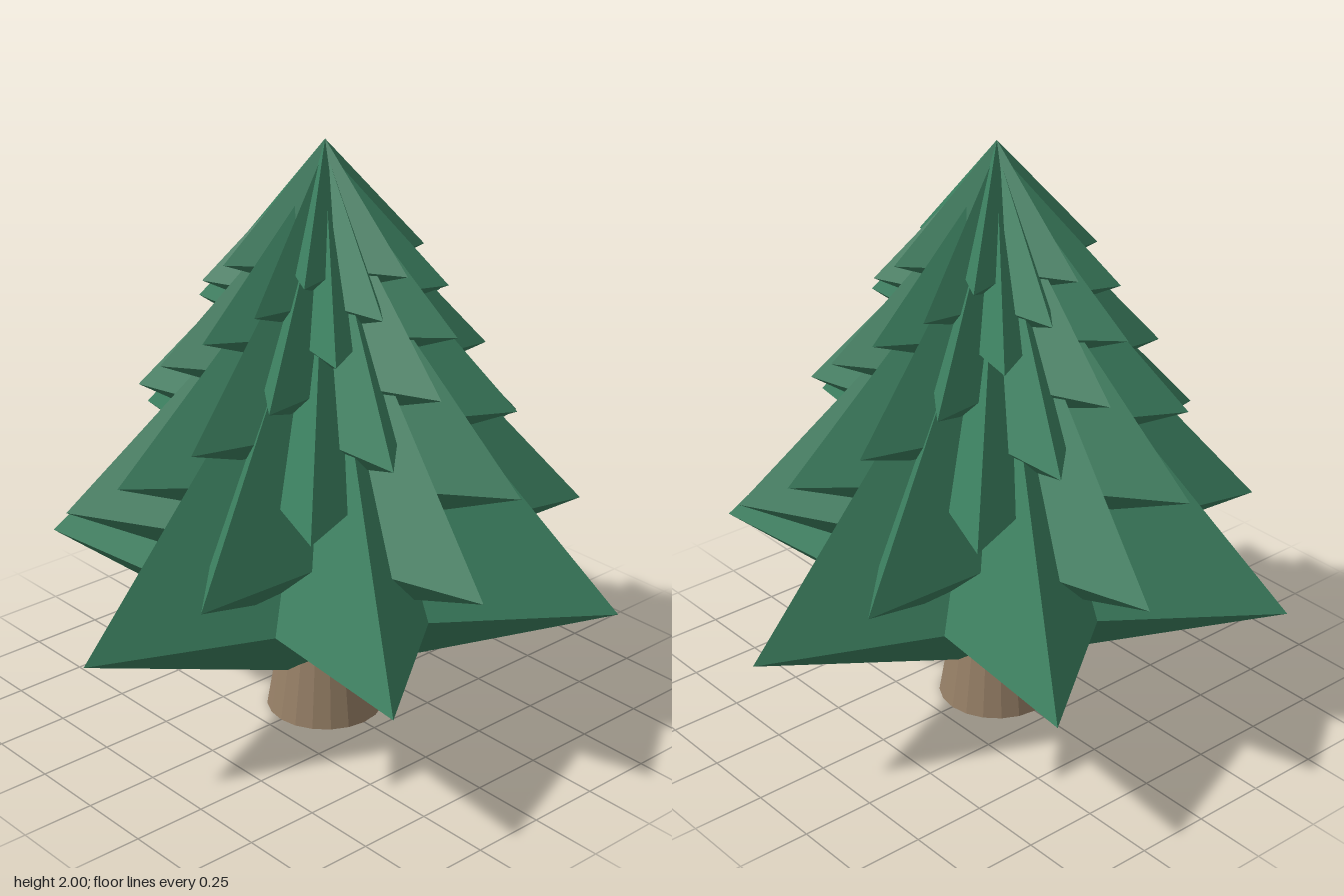
import * as THREE from 'three';

const TIERS = 8;
const SHRINK = 0.856; // size of each tier relative to the one below
const POINTS = 6;

// Six-pointed star bipyramid with its rim at y = 0 and tips at radius 1
function starGeometry() {
  const top = [0, 1.122, 0];
  const bottom = [0, -0.385, 0];
  const rim = [];
  for (let i = 0; i < POINTS * 2; i++) {
    const a = (i * Math.PI) / POINTS;
    const r = i % 2 ? 0.5 : 1;
    rim.push([r * Math.cos(a), 0, r * Math.sin(a)]);
  }
  const positions = [];
  rim.forEach((p, i) => {
    const q = rim[(i + 1) % rim.length];
    positions.push(...top, ...q, ...p, ...bottom, ...p, ...q);
  });
  const geometry = new THREE.BufferGeometry();
  geometry.setAttribute('position', new THREE.Float32BufferAttribute(positions, 3));
  geometry.computeVertexNormals();
  return geometry;
}

export function createModel() {
  const tree = new THREE.Group();
  tree.name = 'tree';

  const needles = new THREE.MeshStandardMaterial({ color: 0x3c8060, flatShading: true });
  const bark = new THREE.MeshStandardMaterial({ color: 0x967f66, flatShading: true });

  // Tapered trunk
  const trunk = new THREE.Mesh(new THREE.CylinderGeometry(0.14, 0.2, 0.36, 20), bark);
  trunk.name = 'trunk';
  trunk.position.y = 0.18;
  tree.add(trunk);

  // Star tiers, each smaller, higher and twisted against the one below
  const foliage = new THREE.Group();
  foliage.name = 'foliage';
  const star = starGeometry();
  let y = 0.5;
  let size = 1;
  for (let i = 0; i < TIERS; i++) {
    const tier = new THREE.Mesh(star, needles);
    tier.name = `branchTier${i + 1}`;
    tier.scale.setScalar(size);
    tier.position.y = y;
    tier.rotation.y = (i * Math.PI) / 8;
    foliage.add(tier);
    y += 0.2434 * size;
    size *= SHRINK;
  }
  tree.add(foliage);

  return tree;
}
